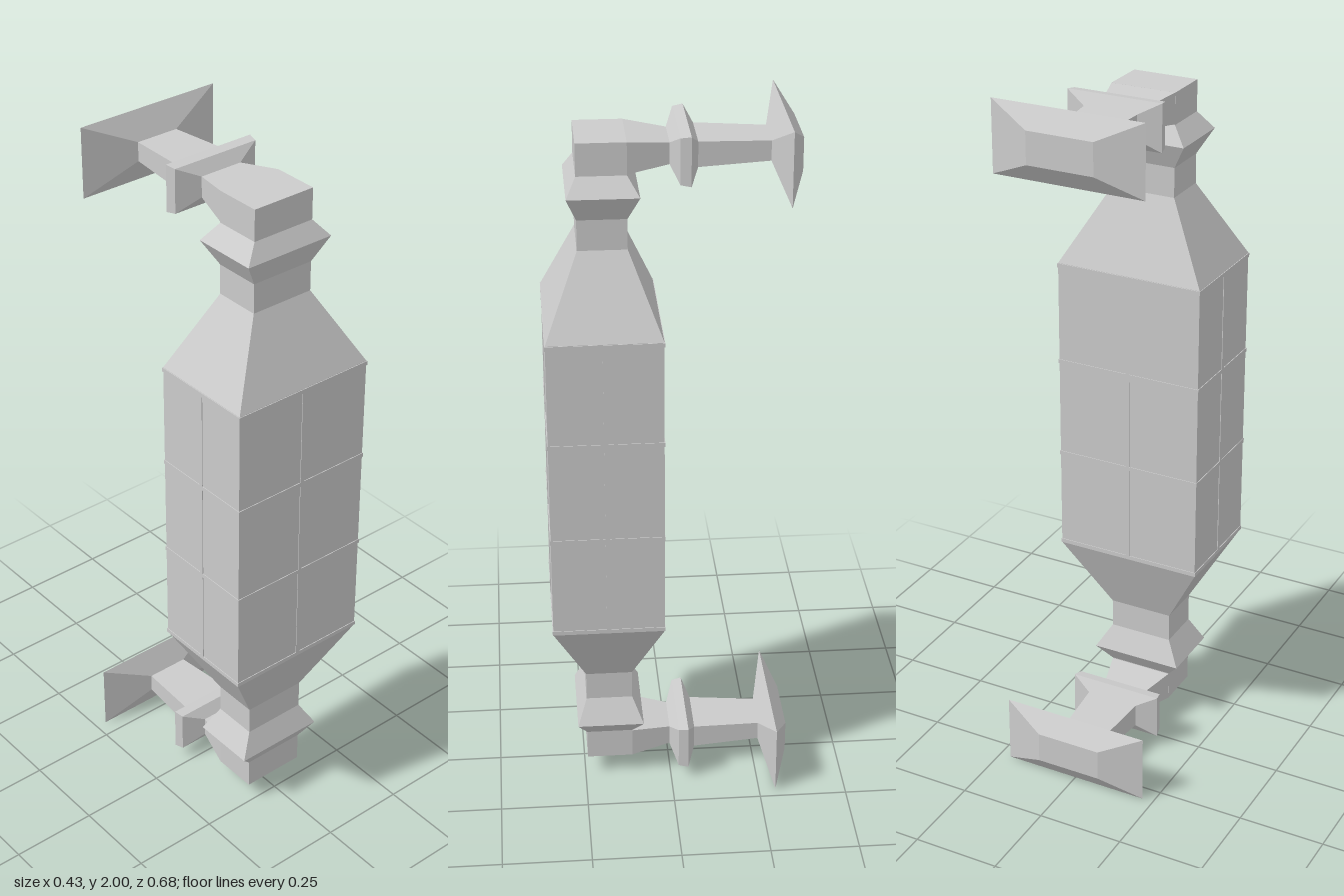
import * as THREE from 'three';

const material = new THREE.MeshStandardMaterial({ color: 0xcccccc, flatShading: true });

// Closed solid through rectangles [position along axis, half width x, half depth, centre offset]
function loft(name, axis, sections) {
  const pos = [], index = [];
  for (const [t, hx, h, c = 0] of sections) {
    for (const [sx, s] of [[-1, -1], [1, -1], [1, 1], [-1, 1]]) {
      if (axis === 'y') pos.push(sx * hx, t, c - s * h);
      else pos.push(sx * hx, c + s * h, t);
    }
  }
  const n = sections.length;
  for (let k = 0; k < n - 1; k++) {
    for (let i = 0; i < 4; i++) {
      const a = k * 4 + i, b = k * 4 + (i + 1) % 4;
      index.push(a, b, b + 4, a, b + 4, a + 4);
    }
  }
  const e = (n - 1) * 4;
  index.push(0, 2, 1, 0, 3, 2, e, e + 1, e + 2, e, e + 2, e + 3);
  const indexed = new THREE.BufferGeometry();
  indexed.setAttribute('position', new THREE.Float32BufferAttribute(pos, 3));
  indexed.setIndex(index);
  const geometry = indexed.toNonIndexed();
  geometry.computeVertexNormals();
  const mesh = new THREE.Mesh(geometry, material);
  mesh.name = name;
  return mesh;
}

function bar(name, w, h, d, x, y, z) {
  const mesh = new THREE.Mesh(new THREE.BoxGeometry(w, h, d), material);
  mesh.name = name;
  mesh.position.set(x, y, z);
  return mesh;
}

export function createModel() {
  const group = new THREE.Group();
  group.name = 'pullHandle';

  // Upright grip: upper half profile mirrored about y = 1
  const cz = 0.177, gz = 0.18, gx = 0.215, gd = 0.155;
  const upper = [
    [1.44, gx, gd, gz],
    [1.653, 0.094, 0.066, cz],
    [1.737, 0.094, 0.066, cz],
    [1.807, 0.135, 0.095, cz - 0.002],
    [1.855, 0.094, 0.066, cz],
    [1.943, 0.094, 0.066, cz],
  ];
  const lower = upper.map(([y, ...rest]) => [2 - y, ...rest]).reverse();
  group.add(loft('grip', 'y', [...lower, ...upper]));

  // Thin raised ribs dividing the grip faces into panels
  const p = 0.002, t = 0.012;
  for (const y of [0.567, 0.856, 1.144, 1.433]) {
    group.add(bar('ringRib', 2 * (gx + p), t, 2 * (gd + p), 0, y, gz));
  }
  for (const s of [-1, 1]) {
    group.add(bar('faceRib', t, 0.87, 2 * p, 0, 1, gz + s * gd));
    group.add(bar('sideRib', 2 * p, 0.87, t, s * gx, 1, gz));
  }

  // Upper and lower wall brackets: arm, collar, stem and flared wall plate
  for (const y of [0.1, 1.9]) {
    const bracket = loft('wallBracket', 'z', [
      [-0.34, 0.095, 0.045],
      [-0.298, 0.217, 0.1],
      [-0.262, 0.063, 0.027],
      [-0.072, 0.077, 0.034],
      [-0.05, 0.137, 0.066],
      [-0.022, 0.131, 0.062],
      [0, 0.063, 0.029],
      [0.112, 0.094, 0.043],
    ]);
    bracket.position.y = y;
    group.add(bracket);
  }
  return group;
}
